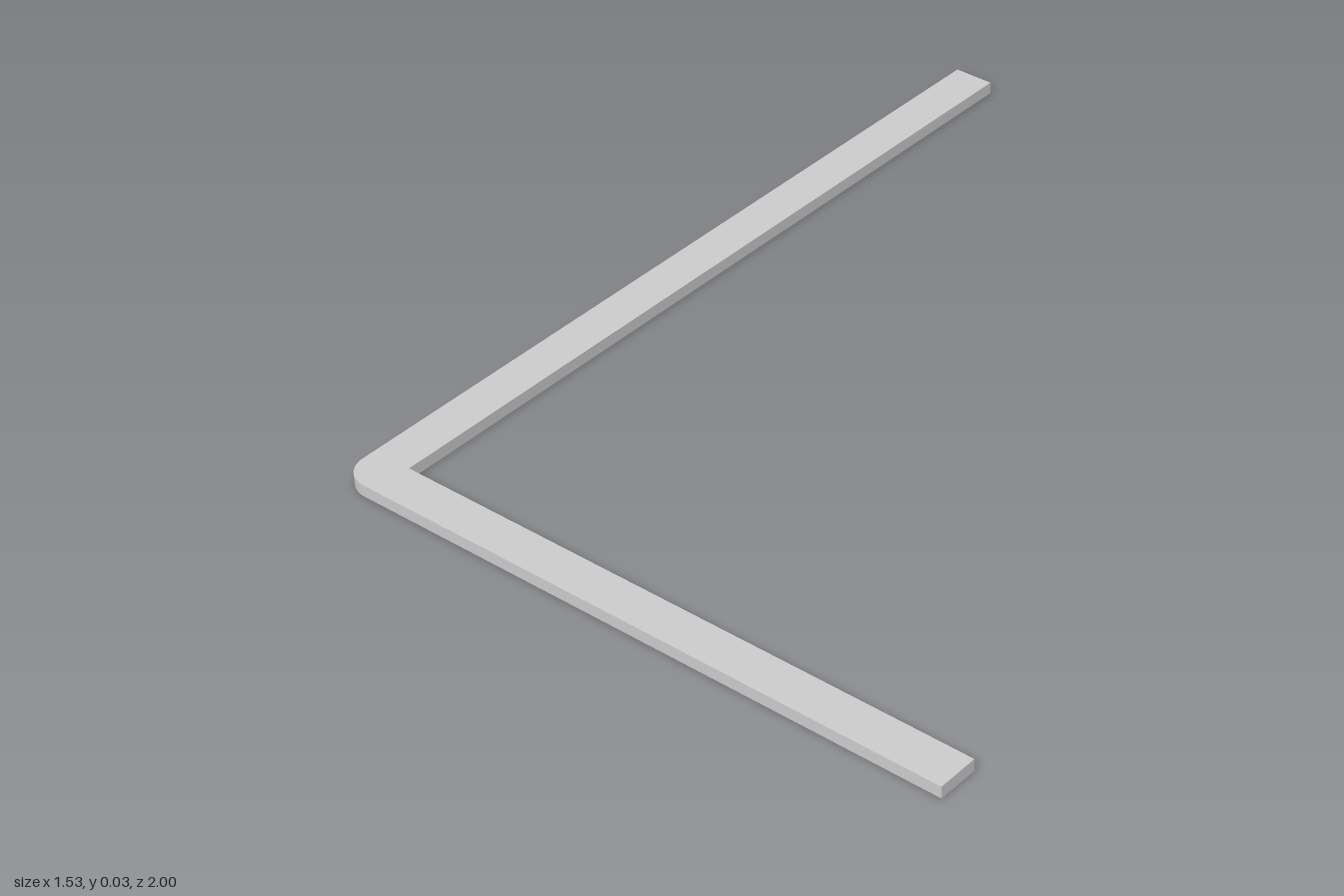
import * as THREE from 'three';
import { toCreasedNormals } from 'three/addons/utils/BufferGeometryUtils.js';

const HALF_X = 0.765, HALF_Z = 1;
const BAR = 0.097, THICK = 0.028, RADIUS = 0.065;

export function createModel() {
  const group = new THREE.Group();
  group.name = 'cornerBracket';

  // L-shaped outline (shape y = -z), counter-clockwise, rounded outer corner
  const outline = new THREE.Shape();
  outline.moveTo(HALF_X, -HALF_Z);
  outline.lineTo(HALF_X, -HALF_Z + BAR);
  outline.lineTo(-HALF_X + BAR, -HALF_Z + BAR);
  outline.lineTo(-HALF_X + BAR, HALF_Z);
  outline.lineTo(-HALF_X, HALF_Z);
  outline.lineTo(-HALF_X, -HALF_Z + RADIUS);
  outline.absarc(-HALF_X + RADIUS, -HALF_Z + RADIUS, RADIUS, Math.PI, Math.PI * 1.5, false);
  outline.closePath();

  // Flat strip lying on the ground
  const extruded = new THREE.ExtrudeGeometry(outline, { depth: THICK, bevelEnabled: false, curveSegments: 16 });
  extruded.rotateX(-Math.PI / 2);
  const strip = new THREE.Mesh(
    toCreasedNormals(extruded, Math.PI / 6),
    new THREE.MeshStandardMaterial({ color: 0xcccccc })
  );
  strip.name = 'angledStrip';
  group.add(strip);
  return group;
}
